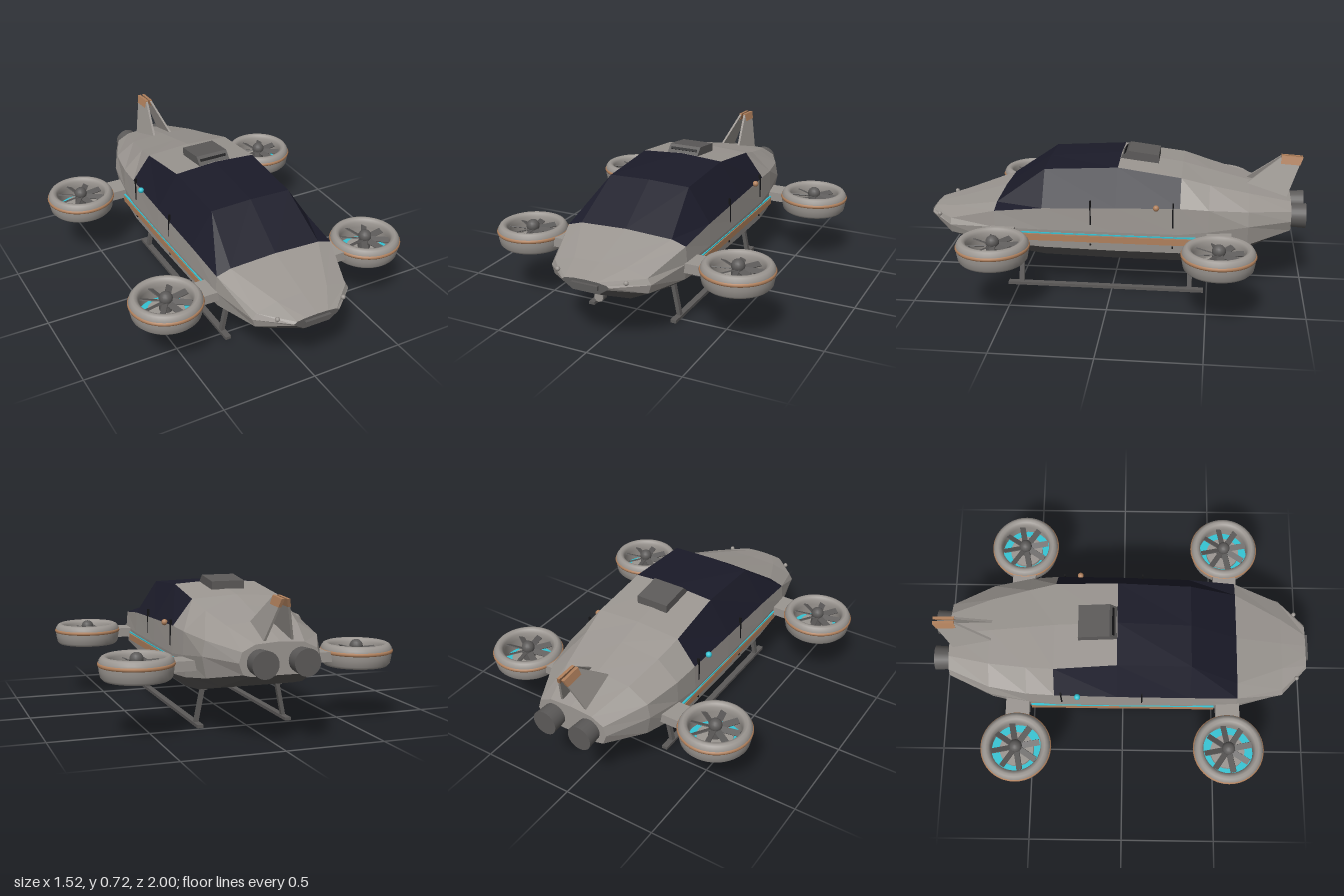
import * as THREE from 'three';

const mat = (name, color, extra = {}) => {
  const m = new THREE.MeshStandardMaterial({ color, ...extra });
  m.name = name;
  return m;
};

export function createModel() {
  const model = new THREE.Group();
  const hullGrey = mat('hull grey', 0x9b9691, { flatShading: true });
  const ductGrey = mat('duct grey', 0x9b9691);
  const metal = mat('dark metal', 0x5c5a59);
  const glass = mat('dark glass', 0x1b1b29, { flatShading: true });
  const copper = mat('copper', 0xb0805c);
  const teal = mat('teal', 0x34c4d4);
  const black = mat('black', 0x141416);

  const add = (name, geo, material, x = 0, y = 0, z = 0, parent = model) => {
    const m = new THREE.Mesh(geo, material);
    m.name = name;
    m.position.set(x, y, z);
    parent.add(m);
    return m;
  };
  const box = (w, h, d) => new THREE.BoxGeometry(w, h, d);
  const cyl = (a, b, h, n = 24) => new THREE.CylinderGeometry(a, b, h, n);

  // Hull stations: z, top y, then x,y of roof edge, belt, side, chine, belly edge
  const stations = [
    [0.985, 0.37, 0.06, 0.368, 0.11, 0.362, 0.125, 0.352, 0.115, 0.34, 0.07, 0.31],
    [0.85, 0.405, 0.14, 0.4, 0.25, 0.37, 0.27, 0.34, 0.255, 0.295, 0.16, 0.25],
    [0.6, 0.48, 0.25, 0.47, 0.325, 0.447, 0.332, 0.36, 0.32, 0.275, 0.23, 0.215],
    [0.35, 0.655, 0.22, 0.648, 0.335, 0.475, 0.34, 0.36, 0.33, 0.26, 0.265, 0.195],
    [-0.03, 0.685, 0.225, 0.67, 0.338, 0.49, 0.342, 0.36, 0.332, 0.255, 0.27, 0.19],
    [-0.355, 0.642, 0.235, 0.628, 0.335, 0.498, 0.34, 0.36, 0.33, 0.255, 0.27, 0.19],
    [-0.5, 0.605, 0.215, 0.588, 0.325, 0.49, 0.33, 0.375, 0.318, 0.265, 0.25, 0.2],
    [-0.7, 0.555, 0.18, 0.54, 0.285, 0.475, 0.3, 0.4, 0.28, 0.295, 0.21, 0.25],
    [-0.92, 0.49, 0.12, 0.482, 0.185, 0.45, 0.2, 0.4, 0.18, 0.345, 0.14, 0.335],
  ];
  const rings = stations.map(([z, top, ...p]) => {
    const right = [];
    for (let i = 0; i < p.length; i += 2) right.push([p[i], p[i + 1], z]);
    return [[0, top, z], ...right, ...right.map(([x, y]) => [-x, y, z]).reverse()];
  });
  const n = rings[0].length;
  const hullPos = [], glassPos = [], bellyPos = [];
  for (let j = 0; j < rings.length - 1; j++) {
    for (let i = 0; i < n; i++) {
      const k = (i + 1) % n;
      const roof = i === 0 || i === n - 1, side = i === 1 || i === n - 2;
      const isGlass = (roof && (j === 2 || j === 3)) || (side && j >= 2 && j <= 4);
      const isBelly = i >= 4 && i <= 6;
      const [a, b, c, d] = [rings[j][i], rings[j][k], rings[j + 1][k], rings[j + 1][i]];
      (isGlass ? glassPos : isBelly ? bellyPos : hullPos).push(...a, ...b, ...c, ...a, ...c, ...d);
    }
  }
  // Nose and tail caps
  const front = rings[0], back = rings[rings.length - 1];
  for (let i = 0; i < n; i++) {
    const k = (i + 1) % n;
    bellyPos.push(0, 0.345, 0.985, ...front[k], ...front[i]);
    hullPos.push(0, 0.41, -0.92, ...back[i], ...back[k]);
  }
  const soup = (pos) => {
    const g = new THREE.BufferGeometry();
    g.setAttribute('position', new THREE.Float32BufferAttribute(pos, 3));
    g.computeVertexNormals();
    return g;
  };
  add('hull', soup(hullPos), hullGrey);
  add('canopy', soup(glassPos), glass);
  add('belly', soup(bellyPos), metal);

  // Side-profile plate from [z, y] points, with thickness along x
  const plate = (pts, depth) => {
    const shape = new THREE.Shape(pts.map(([z, y]) => new THREE.Vector2(-z, y)));
    return new THREE.ExtrudeGeometry(shape, { depth, bevelEnabled: false })
      .translate(0, 0, -depth / 2).rotateY(Math.PI / 2);
  };

  // Roof intake
  add('roofIntake', plate([[-0.03, 0.678], [-0.07, 0.718], [-0.23, 0.698], [-0.23, 0.655]], 0.176), metal);
  const slot = add('intakeSlot', box(0.15, 0.014, 0.006), black, 0, 0.7, -0.052);
  slot.rotation.x = -0.75;

  // Nose details
  add('noseSlot', box(0.14, 0.022, 0.015), metal, 0, 0.343, 0.9925);
  const sensorGeo = (r, d) => cyl(r, r, d, 12).rotateX(Math.PI / 2);
  add('noseSensor', sensorGeo(0.026, 0.034), metal, 0, 0.232, 0.852);
  add('sensorLens', sensorGeo(0.024, 0.004), ductGrey, 0, 0.232, 0.871);
  add('sensorMount', box(0.03, 0.03, 0.03), metal, 0, 0.255, 0.852);

  // Ducted rotor shared geometry
  const ductGeo = new THREE.LatheGeometry(
    [[0.135, -0.065], [0.16, -0.065], [0.172, -0.052], [0.178, -0.02], [0.181, 0.01], [0.178, 0.028],
      [0.168, 0.043], [0.155, 0.049], [0.14, 0.043], [0.131, 0.028], [0.13, 0], [0.135, -0.065]]
      .map(([x, y]) => new THREE.Vector2(x, y)), 40);
  const bandGeo = new THREE.TorusGeometry(0.1745, 0.011, 8, 40).rotateX(Math.PI / 2);
  const bladeGeo = box(0.1, 0.005, 0.032).rotateX(0.45).translate(0.075, 0, 0);

  const rotor = (x, z) => {
    const g = new THREE.Group();
    g.name = 'rotor';
    g.position.set(x, 0.35, z);
    add('duct', ductGeo, ductGrey, 0, 0, 0, g);
    add('ductBand', bandGeo, copper, 0, 0.01, 0, g);
    add('glowDisc', cyl(0.136, 0.136, 0.004, 40), teal, 0, -0.064, 0, g);
    add('stator', cyl(0.09, 0.09, 0.02), ductGrey, 0, -0.045, 0, g);
    add('hub', cyl(0.03, 0.035, 0.102, 16), metal, 0, -0.016, 0, g);
    add('hubCap', new THREE.SphereGeometry(0.034, 16, 10), metal, 0, 0.03, 0, g);
    for (let i = 0; i < 8; i++) {
      add('blade', bladeGeo, metal, 0, 0.012, 0, g).rotation.y = (i / 8) * Math.PI * 2 + 0.2;
    }
    model.add(g);
  };

  for (const s of [-1, 1]) {
    for (const z of [-0.555, 0.555]) {
      rotor(s * 0.575, z);
      add('rotorArm', box(0.14, 0.05, 0.125), hullGrey, s * 0.355, 0.342, z);
    }

    // Side trim
    add('sideStripe', box(0.018, 0.034, 0.97), copper, s * 0.335, 0.318, 0);
    add('sideGlowLine', box(0.01, 0.006, 0.97), teal, s * 0.3385, 0.343, 0);

    // Door seams and hinges
    for (const z of [0.1, -0.32]) {
      add('doorSeam', box(0.012, 0.13, 0.007), black, s * 0.335, 0.46, z);
      add('doorHinge', box(0.012, 0.01, 0.008), black, s * 0.333, 0.287, z);
    }
    add('navigationLight', new THREE.SphereGeometry(0.016, 14, 10), s > 0 ? copper : teal, s * 0.343, 0.5, -0.235);
    add('headlight', new THREE.SphereGeometry(0.012, 12, 8), ductGrey, s * 0.183, 0.366, 0.93);

    // Landing skid
    add('skid', box(0.032, 0.016, 1.04), metal, s * 0.235, 0.008, 0.037);
    add('skidRail', box(0.02, 0.014, 1.0), metal, s * 0.2, 0.193, 0.04);
    for (const z of [0.485, -0.41]) {
      const leg = add('skidLeg', box(0.02, 0.185, 0.025), metal, s * 0.218, 0.104, z);
      leg.rotation.z = s * 0.2;
    }

    // Tail fins leaning together, with coloured tips
    const lean = (geo) => {
      const p = geo.attributes.position;
      for (let i = 0; i < p.count; i++) {
        p.setX(i, p.getX(i) + s * (0.011 + (0.695 - p.getY(i)) * 0.28));
      }
      geo.computeVertexNormals();
      return geo;
    };
    add('tailFin', lean(plate([[-0.68, 0.545], [-0.87, 0.693], [-0.973, 0.686], [-0.895, 0.48]], 0.012)), hullGrey);
    add('finTip', lean(plate([[-0.862, 0.655], [-0.866, 0.696], [-0.977, 0.689], [-0.962, 0.65]], 0.015)), copper);

    // Engine nozzle
    add('engine', cyl(0.065, 0.058, 0.12).rotateX(-Math.PI / 2), metal, s * 0.102, 0.4, -0.94);
  }

  // Belly glow panel
  add('bellyPanel', box(0.3, 0.004, 0.8), teal, 0, 0.1885, 0.02);
  return model;
}
